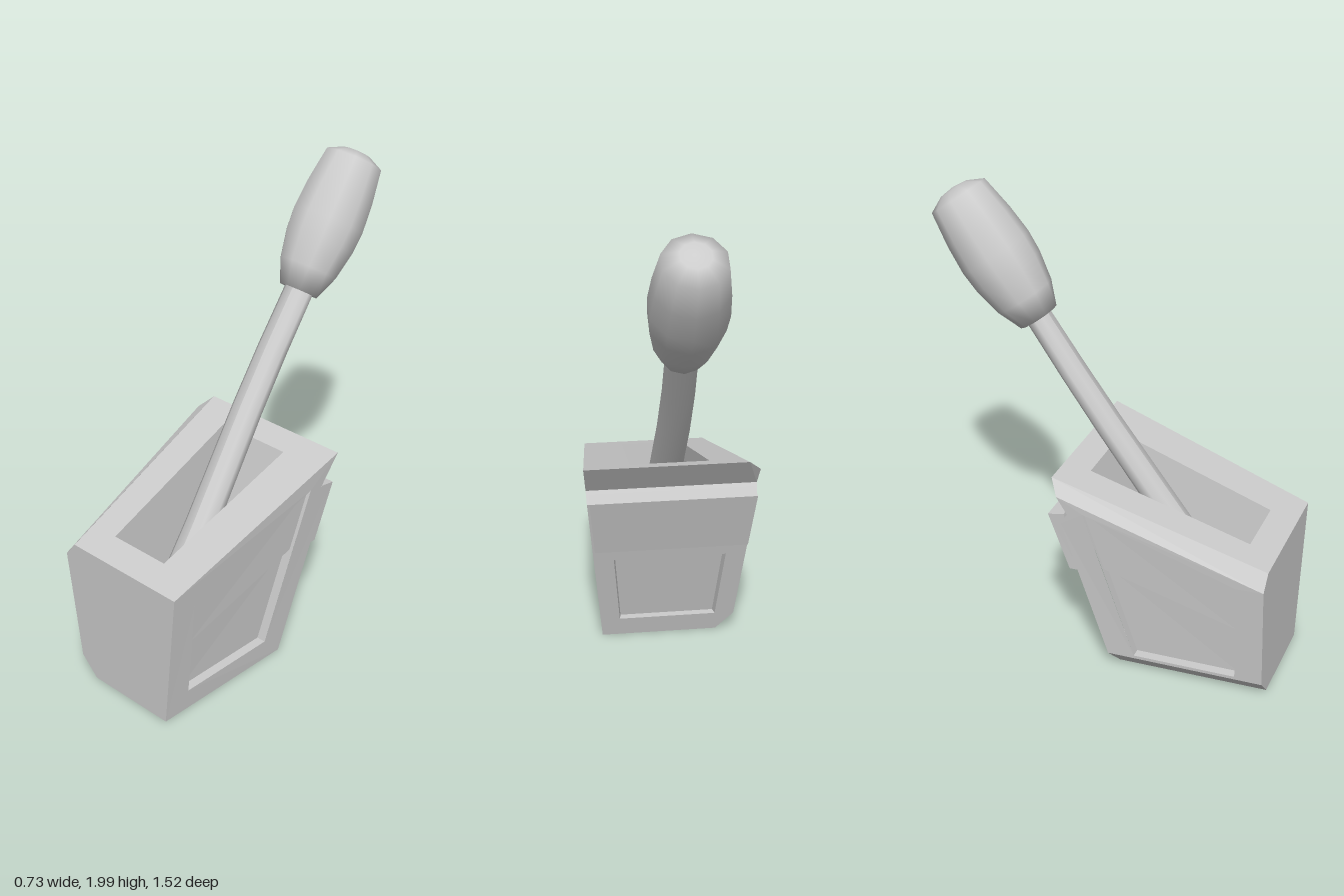
import * as THREE from 'three';

const material = new THREE.MeshStandardMaterial({ color: 0xcccccc });

// Collects flat polygons; each one is turned to face along its hint direction.
class Facets {
  constructor() { this.pos = []; }
  face(pts, hint) {
    const v = pts.map((p) => new THREE.Vector3(...p));
    for (let i = 1; i + 1 < v.length; i++) {
      const n = v[i].clone().sub(v[0]).cross(v[i + 1].clone().sub(v[0]));
      if (n.length() < 1e-7) continue;
      const tri = n.dot(hint) < 0 ? [v[0], v[i + 1], v[i]] : [v[0], v[i], v[i + 1]];
      tri.forEach((p) => this.pos.push(p.x, p.y, p.z));
    }
  }
  // Strip of quads joining two loops with the same number of corners
  ring(a, b, hintFor) {
    a.forEach((p, i) => {
      const j = (i + 1) % a.length;
      const quad = [p, a[j], b[j], b[i]];
      this.face(quad, hintFor(quad));
    });
  }
  // Pocket: inward-facing walls and a floor
  pocket(rim, floor, out) {
    const c = middle([...rim, ...floor]);
    this.ring(rim, floor, (q) => c.clone().sub(middle(q)));
    this.face(floor, out);
  }
  mesh(name) {
    const g = new THREE.BufferGeometry();
    g.setAttribute('position', new THREE.Float32BufferAttribute(this.pos, 3));
    g.computeVertexNormals();
    const m = new THREE.Mesh(g, material);
    m.name = name;
    return m;
  }
}

const vec = (x, y, z) => new THREE.Vector3(x, y, z);
const middle = (pts) => pts.reduce((s, p) => s.add(vec(...p)), vec(0, 0, 0)).divideScalar(pts.length);

// Housing dimensions: half width, top slope and rear slope
const halfWidth = (z, y) => 0.294 + 0.0765 * y - 0.078 * z + 0.0415 * y * z;
const topY = (z) => 0.65 + (0.76 - z) * 0.2944;
const rearZ = (y) => 0.12 - 0.28 * y;
const at = (s, z, y, inset = 0) => [s * (halfWidth(z, y) - inset), y, z];

// Edge points of one side of the housing, with optional bevels
function sidePoints(s, bevelTop, bevelBottom) {
  return {
    s,
    frontLow: at(s, 0.76, bevelBottom),
    frontHigh: at(s, 0.76, 0.65 - bevelTop),
    rearLow: at(s, rearZ(bevelBottom), bevelBottom),
    rearMid: at(s, rearZ(0.735), 0.735),
    notch: at(s, -0.055, 0.785),
    rearHigh: at(s, -0.14 + bevelTop * 0.65, 0.915 - bevelTop * 0.8),
    topFront: at(s, 0.76, 0.65, bevelTop * 0.9),
    topRear: at(s, -0.14, 0.915, bevelTop * 0.9),
    baseFront: at(s, 0.76, 0, bevelBottom * 0.8),
    baseRear: at(s, 0.12, 0, bevelBottom * 0.8),
  };
}

function housing() {
  const f = new Facets();
  const L = sidePoints(1, 0, 0);
  const R = sidePoints(-1, 0.065, 0.085);
  const up = vec(0, 1, 0), down = vec(0, -1, 0), back = vec(0, 0.2, -1);

  for (const p of [L, R]) {
    const out = vec(p.s, 0, 0);
    const side = (z, y, inset = 0) => at(p.s, z, y, inset);
    const corners = [[0.645, 0.1], [0.645, 0.58], [0.01, 0.8], [0.21, 0.1]];
    const [a, b, c, d] = corners.map(([z, y]) => side(z, y));
    // Side frame around the panel
    f.ring([p.frontLow, p.frontHigh, p.rearHigh, p.notch, p.rearMid, p.rearLow],
      [a, b, c, c, c, d], () => out);
    // Shallow upper panel and deeper lower panel
    const split = [[0.645, 0.355], [0.09, 0.53]];
    const pocket = (loop, depth) => f.pocket(loop.map(([z, y]) => side(z, y, 0)),
      loop.map(([z, y]) => side(z, y, depth)), out);
    const shallow = 0.015, deep = 0.04;
    const upper = [split[0], corners[1], corners[2], split[1]];
    const lower = [corners[0], split[0], split[1], corners[3]];
    f.face(upper.map(([z, y]) => side(z, y, shallow)), out);
    for (let i = 0; i < 3; i++) {
      const [m, n] = [upper[i], upper[i + 1]];
      const quad = [side(...m), side(...n), side(...n, shallow), side(...m, shallow)];
      f.face(quad, middle(upper.map((q) => side(...q))).sub(middle(quad)));
    }
    f.face(lower.map(([z, y]) => side(z, y, deep)), out);
    for (let i = 0; i < 4; i++) {
      const [m, n] = [lower[i], lower[(i + 1) % 4]];
      const start = i === 1 ? shallow : 0;
      const quad = [side(...m, start), side(...n, start), side(...n, deep), side(...m, deep)];
      f.face(quad, middle(lower.map((q) => side(...q))).sub(middle(quad)));
    }
    // Bevels along the top and bottom edges
    f.face([p.frontHigh, p.rearHigh, p.topRear, p.topFront], vec(p.s, 1, 0));
    f.face([p.frontLow, p.rearLow, p.baseRear, p.baseFront], vec(p.s, -1, 0));
  }

  // Front and base
  f.face([L.baseFront, L.frontLow, L.frontHigh, L.topFront,
    R.topFront, R.frontHigh, R.frontLow, R.baseFront], vec(0, 0, 1));
  f.face([L.baseFront, L.baseRear, R.baseRear, R.baseFront], down);

  // Top with the tapering lever slot
  const slot = [[-0.16, -0.035], [0.17, -0.035], [0.14, 0.645], [-0.13, 0.645]].map(([x, z]) => [x, topY(z), z]);
  const slotFloor = [[-0.1, 0.21], [0.11, 0.21], [0.08, 0.64], [-0.08, 0.64]].map(([x, z]) => [x, 0.05, z]);
  f.ring([R.topRear, L.topRear, L.topFront, R.topFront], slot, () => up);
  f.pocket(slot, slotFloor, up);

  // Rear: recessed panel, notch and overhang
  const rear = (x, y, depth = 0) => [x, y, rearZ(y) + depth];
  const panel = [[-0.21, 0.09], [-0.24, 0.43], [0.24, 0.43], [0.21, 0.09]];
  const rim = panel.map(([x, y]) => rear(x, y));
  f.ring([R.baseRear, R.rearLow, R.rearMid, L.rearMid, L.baseRear],
    [rim[0], rim[0], rim[1], rim[2], rim[3]], () => back);
  f.pocket(rim, panel.map(([x, y]) => rear(x * 0.97, y, 0.035)), back);
  f.face([R.rearMid, L.rearMid, L.notch, R.notch], vec(0, 1, -1));
  f.face([R.notch, L.notch, L.topRear, R.topRear, R.rearHigh], vec(0, -1, -1));
  return f.mesh('housing');
}

// Raised band across the rear
function rearBand() {
  const f = new Facets();
  const profile = [[-0.015, 0.5], [-0.062, 0.5], [-0.143, 0.762], [-0.075, 0.775]];
  const [l, r] = [1, -1].map((s) => profile.map(([z, y]) => at(s, z, y, 0.012)));
  const c = middle([...l, ...r]);
  f.ring(l, r, (q) => middle(q).sub(c));
  f.face(l, vec(1, 0, 0));
  f.face(r, vec(-1, 0, 0));
  return f.mesh('rearBand');
}

function lever() {
  const g = new THREE.Group();
  g.name = 'lever';
  const length = 1.58;

  // Oval shaft with a slight sideways bow
  const shaftGeo = new THREE.CylinderGeometry(0.066, 0.077, length, 10, 6);
  const p = shaftGeo.attributes.position;
  for (let i = 0; i < p.count; i++) {
    const t = p.getY(i) / length + 0.5;
    p.setXYZ(i, p.getX(i) - 0.004 + 0.008 * Math.sin(t * Math.PI * 2),
      p.getY(i) + length / 2, p.getZ(i) * (0.82 - 0.1 * t));
  }
  shaftGeo.computeVertexNormals();
  const shaft = new THREE.Mesh(shaftGeo, material);
  shaft.name = 'shaft';

  // Swollen grip
  const profile = [[0, 0.02], [0.085, 0], [0.126, 0.1], [0.15, 0.22], [0.156, 0.31],
    [0.147, 0.43], [0.125, 0.575], [0.06, 0.608], [0, 0.615]];
  const grip = new THREE.Mesh(
    new THREE.LatheGeometry(profile.map(([r, y]) => new THREE.Vector2(r, y)), 10), material);
  grip.name = 'grip';
  grip.position.set(-0.005, length - 0.005, 0);

  g.add(shaft, grip);
  g.position.set(0, 0.18, 0.6);
  g.rotation.x = -0.628;
  return g;
}

export function createModel() {
  const model = new THREE.Group();
  model.name = 'leverBox';
  model.add(housing(), rearBand(), lever());
  return model;
}
